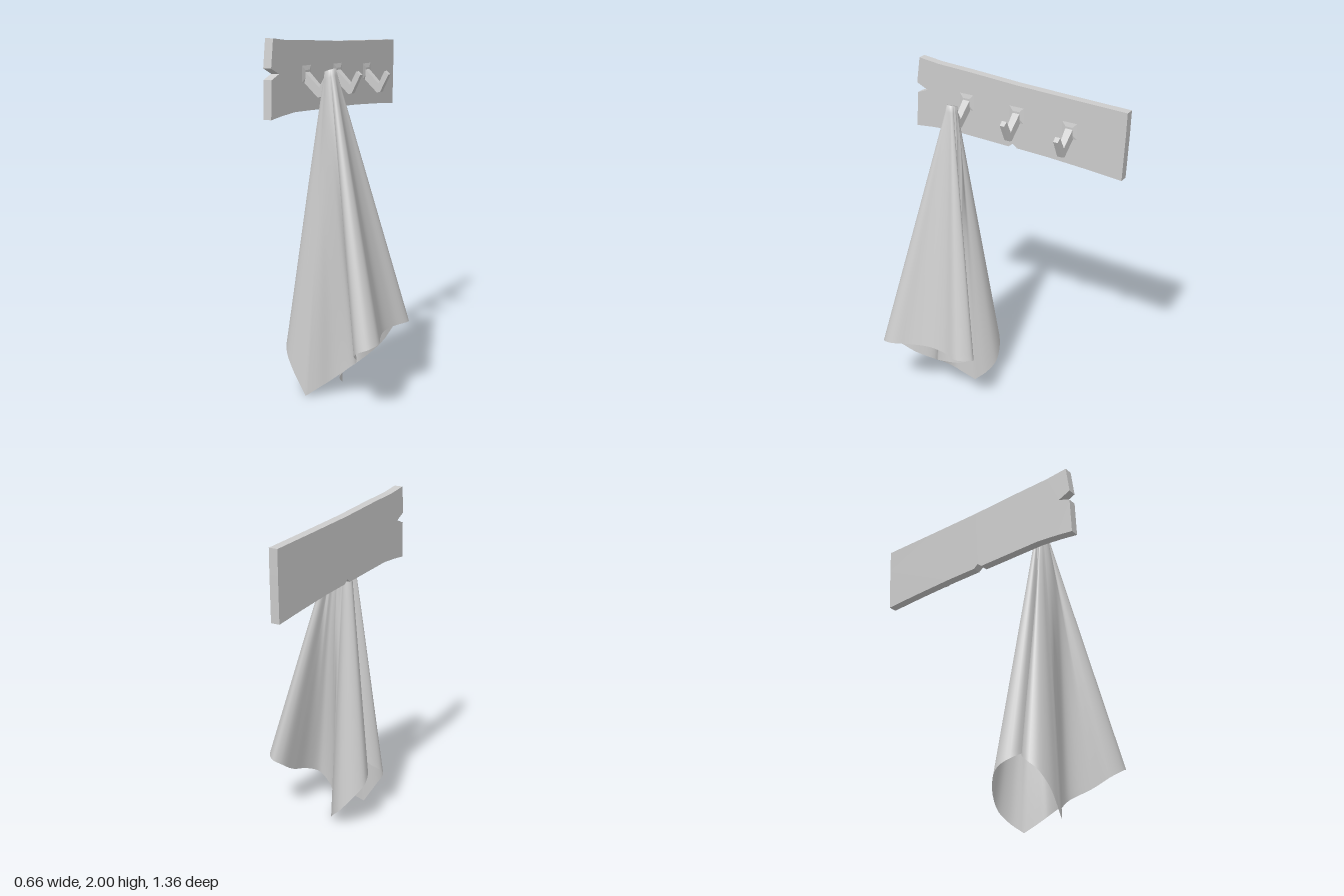
import * as THREE from 'three';

const grey = new THREE.MeshStandardMaterial({ color: 0xcccccc, flatShading: true });
const cloth = new THREE.MeshStandardMaterial({ color: 0xcccccc, side: THREE.DoubleSide });

function shapeOf(points) {
  return new THREE.Shape(points.map(([a, b]) => new THREE.Vector2(a, b)));
}

function curveOf(points) {
  return new THREE.CatmullRomCurve3(points.map(p => new THREE.Vector3(...p)), false, 'centripetal');
}

// Weathered plank with a notched end, outline given as (z, y)
function makeBoard() {
  const outline = [
    [0.65, 2.0], [0.52, 1.985], [0.3, 1.975], [0, 1.957], [-0.06, 1.955], [-0.35, 1.945], [-0.675, 1.935],
    [-0.672, 1.8], [-0.662, 1.543], [-0.45, 1.56], [-0.2, 1.576], [-0.005, 1.583], [0.022, 1.605], [0.05, 1.583],
    [0.25, 1.59], [0.45, 1.597], [0.58, 1.588], [0.68, 1.577], [0.67, 1.785], [0.6, 1.812], [0.672, 1.845]
  ];
  const geo = new THREE.ExtrudeGeometry(shapeOf(outline), { depth: 0.05, bevelEnabled: false });
  geo.rotateY(-Math.PI / 2);
  const board = new THREE.Mesh(geo, grey);
  board.name = 'board';
  board.position.x = -0.23;
  return board;
}

// V-shaped peg that narrows towards its tip, with a low flared foot
function makeHook(y, z) {
  const hook = new THREE.Group();
  hook.name = 'hook';
  const profile = [
    [-0.235, 1.74], [-0.15, 1.66], [-0.13, 1.665], [-0.075, 1.77], [-0.1, 1.79], [-0.14, 1.715], [-0.235, 1.805]
  ];
  const geo = new THREE.ExtrudeGeometry(shapeOf(profile), { depth: 1, bevelEnabled: false });
  const pos = geo.attributes.position;
  for (let i = 0; i < pos.count; i++) {
    const half = THREE.MathUtils.mapLinear(pos.getX(i), -0.235, -0.075, 0.023, 0.014);
    pos.setZ(i, (pos.getZ(i) - 0.5) * 2 * half);
  }
  const peg = new THREE.Mesh(geo, grey);
  peg.name = 'hookPeg';

  const footGeo = new THREE.CylinderGeometry(0.03, 0.065, 0.006, 4);
  footGeo.rotateY(Math.PI / 4).rotateZ(-Math.PI / 2);
  const foot = new THREE.Mesh(footGeo, grey);
  foot.name = 'hookFoot';
  foot.position.set(-0.227, 1.785, 0);

  hook.add(peg, foot);
  hook.position.set(0, y, z);
  return hook;
}

// Draped towel: lofted from a small gathered ring on the hook to the folded hem
function makeTowel() {
  // Hem in two runs that meet at the two sharp hanging corners
  const backHem = curveOf([
    [-0.16, 0.005, 0.49], [-0.25, 0.15, 0.485], [-0.31, 0.24, 0.45], [-0.334, 0.3, 0.39], [-0.28, 0.36, 0.33],
    [-0.14, 0.42, 0.318], [-0.28, 0.36, 0.295], [-0.325, 0.3, 0.2], [-0.28, 0.22, 0.135], [-0.2, 0.12, 0.11],
    [-0.14, 0.06, 0.14], [-0.09, 0.005, 0.2]
  ]);
  const frontHem = curveOf([
    [-0.09, 0.005, 0.2], [-0.065, 0.045, 0.265], [-0.04, 0.085, 0.32], [0.015, 0.14, 0.357], [0.09, 0.2, 0.362],
    [0.135, 0.245, 0.28], [0.155, 0.29, 0.15], [0.175, 0.36, 0.045], [0.22, 0.39, 0.017], [0.28, 0.4, 0.09],
    [0.25, 0.4, 0.2], [0.245, 0.4, 0.31], [0.28, 0.4, 0.42], [0.33, 0.4, 0.53], [0.31, 0.385, 0.595],
    [0.25, 0.36, 0.617], [0.2, 0.32, 0.57], [0.16, 0.26, 0.47], [0.09, 0.2, 0.376], [0.02, 0.145, 0.376],
    [-0.04, 0.095, 0.4], [-0.1, 0.05, 0.45], [-0.16, 0.005, 0.49]
  ]);

  const around = 162, back = 54, down = 40;
  const positions = [], indices = [];
  const ring = new THREE.Vector3(), p = new THREE.Vector3();
  // Row 0 is the closed crown, row 1 its rim, the rest hang to the hem
  for (let r = 0; r <= down; r++) {
    const v = Math.max(0, (r - 1) / (down - 1));
    const radius = r === 0 ? 0 : 0.03;
    for (let i = 0; i < around; i++) {
      const a = (i / around + 1 / 3) * Math.PI * 2;
      ring.set(-0.08 + Math.cos(a) * radius, 1.82 + Math.cos(a) * radius * 0.35, 0.33 + Math.sin(a) * radius);
      const end = i < back ? backHem.getPoint(i / back) : frontHem.getPoint((i - back) / (around - back));
      p.lerpVectors(ring, end, v);
      // The side grooves stay shallow near the hook and close up towards the hem
      const depth = Math.max(0, 0.2 * Math.abs(Math.sin(a)) - Math.abs(end.z - 0.33));
      p.z += Math.sign(Math.sin(a)) * depth * 1.6 * v * (1 - v) ** 2;
      positions.push(p.x, p.y, p.z);
      if (r < down) {
        const j = (i + 1) % around;
        const a0 = r * around + i, b0 = r * around + j;
        if (r > 0) indices.push(a0, b0, a0 + around);
        indices.push(b0, b0 + around, a0 + around);
      }
    }
  }
  const geo = new THREE.BufferGeometry();
  geo.setAttribute('position', new THREE.Float32BufferAttribute(positions, 3));
  geo.setIndex(indices);
  geo.computeVertexNormals();
  const towel = new THREE.Mesh(geo, cloth);
  towel.name = 'towel';
  return towel;
}

export function createModel() {
  const model = new THREE.Group();
  model.name = 'towelRack';
  model.add(makeBoard());
  [[0.01, 0.33], [0, 0], [-0.02, -0.335]].forEach(([y, z]) => model.add(makeHook(y, z)));
  model.add(makeTowel());
  return model;
}
